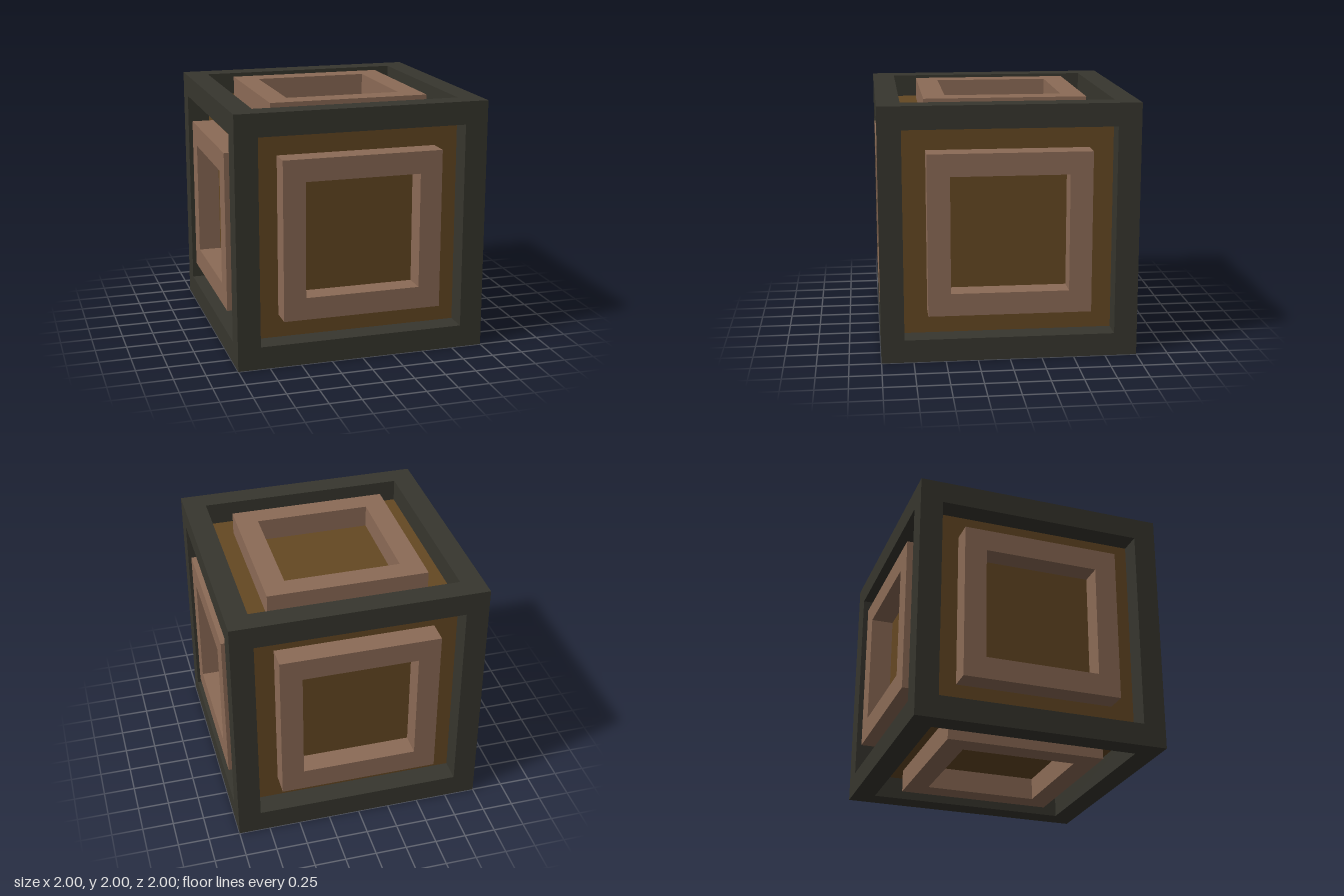
import * as THREE from 'three';

const HALF = 1;          // half of the whole cube
const CORE = 0.82;       // half of the inner cube, also inner edge of the bars
const RING_OUT = 0.634;  // half widths of the raised square rings
const RING_IN = 0.458;

function squarePath(path, h) {
  path.moveTo(-h, -h);
  path.lineTo(h, -h);
  path.lineTo(h, h);
  path.lineTo(-h, h);
  path.closePath();
  return path;
}

export function createModel() {
  const frameMat = new THREE.MeshStandardMaterial({ name: 'darkFrame', color: 0x37362e });
  const coreMat = new THREE.MeshStandardMaterial({ name: 'brownPanel', color: 0x654823 });
  const ringMat = new THREE.MeshStandardMaterial({ name: 'paleWood', color: 0x8c6b56 });

  const model = new THREE.Group();
  model.name = 'framedCrate';
  const body = new THREE.Group();
  body.name = 'body';
  body.position.y = HALF;
  model.add(body);

  // Inner cube whose faces are the recessed panels
  const core = new THREE.Mesh(new THREE.BoxGeometry(2 * CORE, 2 * CORE, 2 * CORE), coreMat);
  core.name = 'core';
  body.add(core);

  // Twelve edge bars: full-height posts, and rails fitted between them
  const t = HALF - CORE;
  const c = (HALF + CORE) / 2;
  const frame = new THREE.Group();
  frame.name = 'edgeFrame';
  body.add(frame);
  const bars = {
    post: new THREE.BoxGeometry(t, 2 * HALF, t),
    railX: new THREE.BoxGeometry(2 * CORE, t, t),
    railZ: new THREE.BoxGeometry(t, t, 2 * CORE),
  };
  for (const a of [-c, c]) {
    for (const b of [-c, c]) {
      const places = { post: [a, 0, b], railX: [0, a, b], railZ: [a, b, 0] };
      for (const name in bars) {
        const bar = new THREE.Mesh(bars[name], frameMat);
        bar.name = name;
        bar.position.set(...places[name]);
        frame.add(bar);
      }
    }
  }

  // A raised square ring on each of the six faces
  const shape = squarePath(new THREE.Shape(), RING_OUT);
  shape.holes.push(squarePath(new THREE.Path(), RING_IN));
  const ringGeo = new THREE.ExtrudeGeometry(shape, { depth: t, bevelEnabled: false });
  ringGeo.translate(0, 0, CORE);
  const q = Math.PI / 2;
  const turns = {
    front: [0, 0], left: [0, q], back: [0, 2 * q], right: [0, -q], top: [-q, 0], bottom: [q, 0],
  };
  for (const side in turns) {
    const ring = new THREE.Mesh(ringGeo, ringMat);
    ring.name = side + 'Ring';
    ring.rotation.set(turns[side][0], turns[side][1], 0);
    body.add(ring);
  }

  return model;
}
